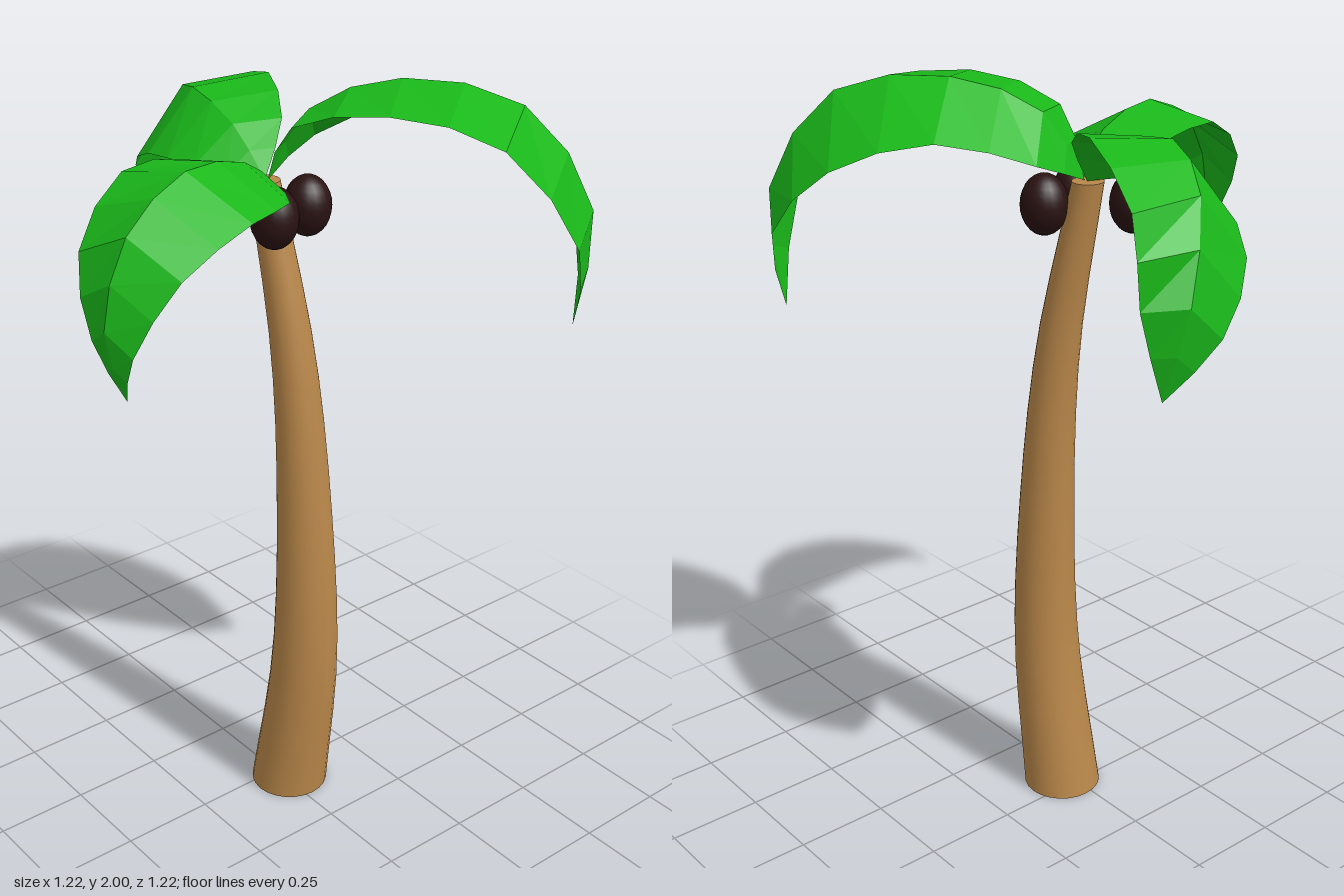
import * as THREE from 'three';

const trunkMat = new THREE.MeshStandardMaterial({ color: 0xb9874a });
const nutMat = new THREE.MeshStandardMaterial({ color: 0x2a1212 });
const leafMat = new THREE.MeshStandardMaterial({ color: 0x1ab81a, flatShading: true, side: THREE.DoubleSide });

const curve = (pts) => new THREE.CatmullRomCurve3(pts.map((p) => new THREE.Vector3(...p)), false, 'catmullrom', 0.5);

// Tapered trunk: a cylinder whose rings are shifted along a bending centre line
function makeTrunk() {
  const height = 1.75;
  const bend = curve([
    [0.02, 0, 0.04], [0.03, 0.44, 0.092], [0.03, 0.875, 0.085], [0.022, 1.31, 0.045], [-0.003, 1.75, -0.04],
  ]);
  const geo = new THREE.CylinderGeometry(0.04, 0.105, height, 24, 14);
  geo.translate(0, height / 2, 0);
  const pos = geo.attributes.position;
  for (let i = 0; i < pos.count; i++) {
    const c = bend.getPoint(THREE.MathUtils.clamp(pos.getY(i) / height, 0, 1));
    pos.setXYZ(i, pos.getX(i) + c.x, pos.getY(i), pos.getZ(i) + c.z);
  }
  geo.computeVertexNormals();
  const mesh = new THREE.Mesh(geo, trunkMat);
  mesh.name = 'trunk';
  return mesh;
}

// Creased leaf: two strips between left edge, rib and right edge, meeting at base and tip
function makeLeaf({ name, base, tip, left, rib, right }) {
  const n = 10;
  const lines = [left, rib, right].map((mid) => curve([base, ...mid, tip]));
  const verts = [];
  for (let i = 0; i <= n; i++) for (const line of lines) verts.push(...line.getPoint(i / n).toArray());
  const index = [];
  for (let i = 0; i < n; i++) {
    for (let s = 0; s < 2; s++) {
      const a = i * 3 + s, b = a + 1, c = a + 3, d = a + 4;
      if (i > 0) index.push(a, b, d);
      if (i < n - 1) index.push(a, d, c);
      else index[index.length - 1] = d;
    }
  }
  const geo = new THREE.BufferGeometry();
  geo.setAttribute('position', new THREE.Float32BufferAttribute(verts, 3));
  geo.setIndex(index);
  geo.computeVertexNormals();
  const mesh = new THREE.Mesh(geo, leafMat);
  mesh.name = name;
  return mesh;
}

const leaves = [
  {
    name: 'frontLeaf', base: [0, 1.75, -0.03], tip: [0.53, 1.41, 0.505],
    left: [[0.18, 1.82, -0.07], [0.39, 1.885, 0.04], [0.555, 1.81, 0.23], [0.605, 1.63, 0.42]],
    rib: [[0.09, 1.92, 0.015], [0.245, 2.0, 0.17], [0.42, 1.955, 0.4], [0.54, 1.71, 0.53]],
    right: [[-0.025, 1.91, 0.09], [0.07, 1.97, 0.32], [0.23, 1.91, 0.53], [0.41, 1.66, 0.61]],
  },
  {
    name: 'backLeaf', base: [0, 1.75, -0.04], tip: [0.215, 1.39, -0.545],
    left: [[-0.11, 1.77, -0.18], [-0.12, 1.76, -0.36], [-0.04, 1.67, -0.54], [0.1, 1.53, -0.612]],
    rib: [[-0.005, 1.86, -0.16], [0.01, 1.91, -0.345], [0.1, 1.835, -0.53], [0.195, 1.62, -0.608]],
    right: [[0.1, 1.87, -0.1], [0.2, 1.93, -0.28], [0.295, 1.83, -0.525], [0.295, 1.62, -0.555]],
  },
  {
    name: 'rightLeaf', base: [0, 1.75, 0], tip: [-0.57, 1.41, 0.19],
    left: [[-0.1, 1.77, 0.18], [-0.28, 1.785, 0.275], [-0.48, 1.7, 0.285], [-0.58, 1.53, 0.235]],
    rib: [[-0.13, 1.84, 0.05], [-0.34, 1.875, 0.11], [-0.53, 1.775, 0.15], [-0.61, 1.58, 0.17]],
    right: [[-0.18, 1.82, -0.095], [-0.39, 1.84, -0.07], [-0.565, 1.71, 0.01], [-0.605, 1.54, 0.11]],
  },
];

const nuts = [[-0.115, 1.685, -0.08], [-0.05, 1.69, 0.06], [0.072, 1.69, 0.035]];

export function createModel() {
  const tree = new THREE.Group();
  tree.name = 'palmTree';
  tree.add(makeTrunk());
  leaves.forEach((leaf) => tree.add(makeLeaf(leaf)));

  // Coconuts hang around the top of the trunk
  const nutGeo = new THREE.SphereGeometry(1, 20, 14);
  nuts.forEach((p, i) => {
    const nut = new THREE.Mesh(nutGeo, nutMat);
    nut.scale.set(0.06, 0.077, 0.06);
    nut.position.set(...p);
    nut.name = `coconut${i + 1}`;
    tree.add(nut);
  });
  return tree;
}
